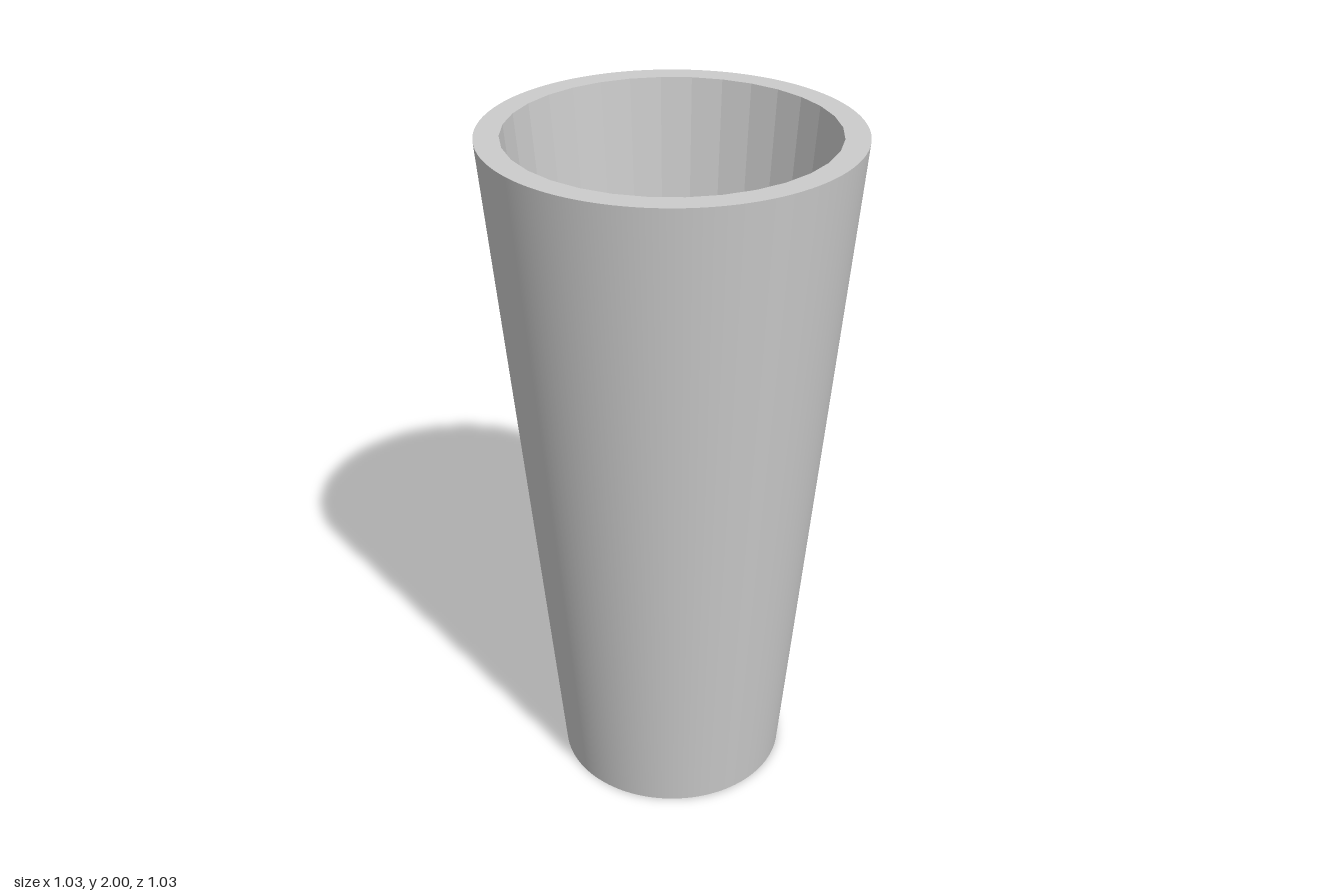
import * as THREE from 'three';

const TOP = 2, FLOOR = 0.26;
const OUTER_TOP = 0.515, OUTER_BASE = 0.337;
const INNER_TOP = 0.448, INNER_BASE = 0.293;
const OUTER_SIDES = 128, INNER_SIDES = 32;

export function createModel() {
  const group = new THREE.Group();
  group.name = 'tumbler';
  const smooth = new THREE.MeshStandardMaterial({ color: 0xcccccc });
  const faceted = new THREE.MeshStandardMaterial({ color: 0xcccccc, flatShading: true });
  const inside = faceted.clone();
  inside.side = THREE.BackSide;

  const add = (name, geometry, material) => {
    const mesh = new THREE.Mesh(geometry, material);
    mesh.name = name;
    group.add(mesh);
    return mesh;
  };

  // Points of a regular polygon, used for the rim
  const ring = (radius, sides) => Array.from({ length: sides }, (_, i) => {
    const a = (i / sides) * Math.PI * 2;
    return new THREE.Vector2(Math.cos(a) * radius, Math.sin(a) * radius);
  });

  // Smooth tapered outside
  add('outerWall', new THREE.CylinderGeometry(OUTER_TOP, OUTER_BASE, TOP, OUTER_SIDES, 1, true), smooth)
    .position.y = TOP / 2;

  // Faceted tapered inside, seen from within
  add('innerWall', new THREE.CylinderGeometry(INNER_TOP, INNER_BASE, TOP - FLOOR, INNER_SIDES, 1, true), inside)
    .position.y = (TOP + FLOOR) / 2;

  // Flat rim joining the round outside to the polygonal inside
  const rimShape = new THREE.Shape(ring(OUTER_TOP, OUTER_SIDES));
  rimShape.holes.push(new THREE.Path(ring(INNER_TOP, INNER_SIDES)));
  add('rim', new THREE.ShapeGeometry(rimShape).rotateX(-Math.PI / 2), faceted).position.y = TOP;

  // Inner floor and underside
  add('floor', new THREE.CircleGeometry(INNER_BASE, INNER_SIDES).rotateX(-Math.PI / 2), faceted).position.y = FLOOR;
  add('underside', new THREE.CircleGeometry(OUTER_BASE, OUTER_SIDES).rotateX(Math.PI / 2), faceted);

  return group;
}
